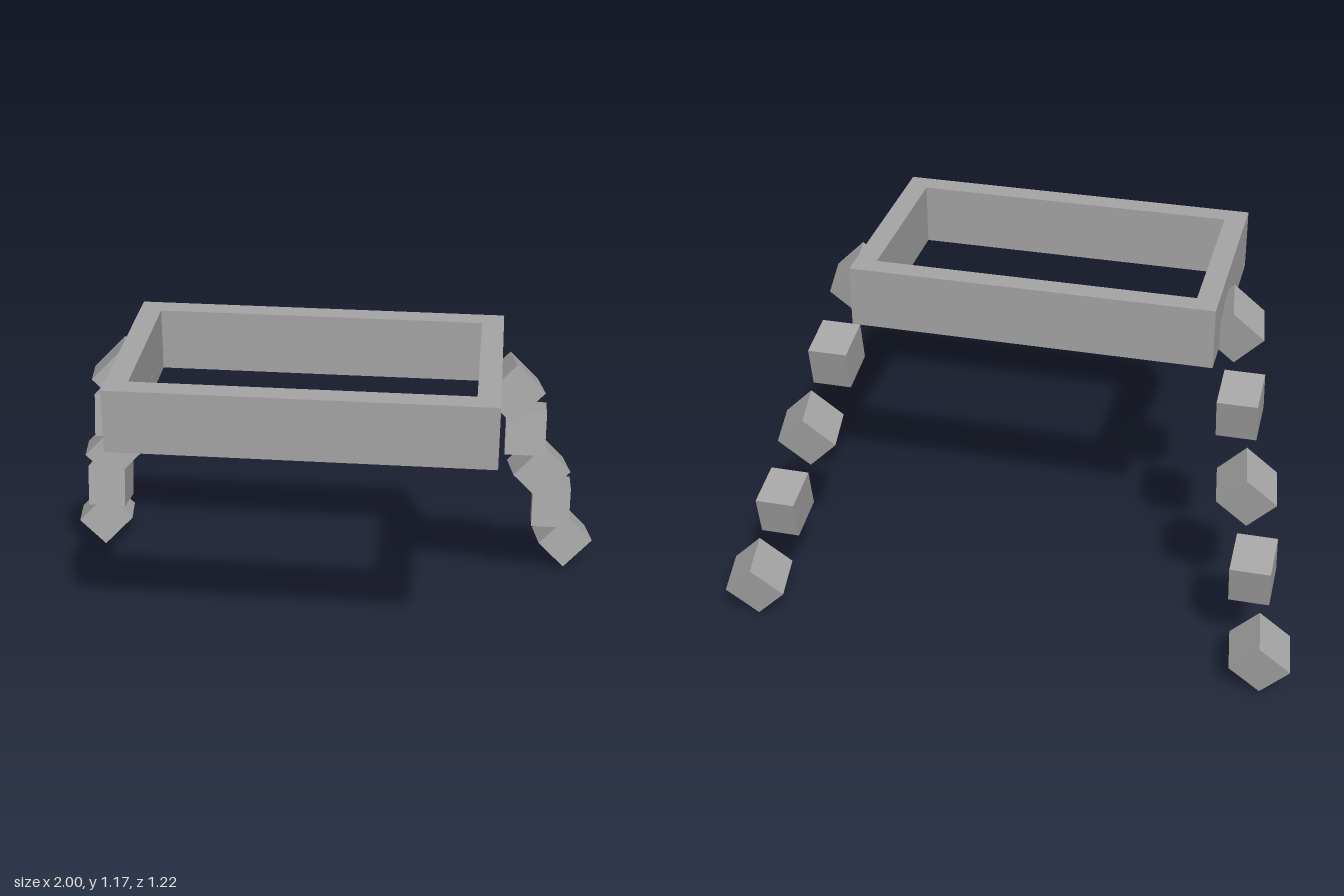
import * as THREE from 'three';

export function createModel() {
  const model = new THREE.Group();
  const grey = new THREE.MeshStandardMaterial({ color: 0xa6a6a6 });
  grey.name = 'grey';

  // Rectangular ring, open through the middle
  const outline = new THREE.Shape([[-0.623, -0.61], [0.623, -0.61], [0.623, 0.128], [-0.623, 0.128]]
    .map(([x, y]) => new THREE.Vector2(x, y)));
  outline.holes.push(new THREE.Path([[-0.549, -0.534], [-0.549, 0.054], [0.549, 0.054], [0.549, -0.534]]
    .map(([x, y]) => new THREE.Vector2(x, y))));
  const frameGeometry = new THREE.ExtrudeGeometry(outline, { depth: 0.214, bevelEnabled: false });
  frameGeometry.rotateX(-Math.PI / 2);
  const frame = new THREE.Mesh(frameGeometry, grey);
  frame.name = 'frame';
  frame.position.y = 0.959;
  model.add(frame);

  // Two strands of five tilted blocks; every other block is rolled an eighth turn.
  // Both strands roll the same way.
  const blockGeometry = new THREE.BoxGeometry(0.138, 0.15, 0.166);
  for (const [name, side] of [['leftStrand', 1], ['rightStrand', -1]]) {
    const strand = new THREE.Group();
    strand.name = name;
    for (let i = 0; i < 5; i++) {
      const block = new THREE.Mesh(blockGeometry, grey);
      block.name = `block${i + 1}`;
      block.position.set(side * (0.658 + 0.0573 * i), 1.008 - 0.2227 * i, 0.098 - 0.1535 * i);
      block.rotation.set(-0.2, 0, i % 2 ? 0 : -Math.PI / 4, 'ZYX');
      strand.add(block);
    }
    model.add(strand);
  }
  return model;
}
